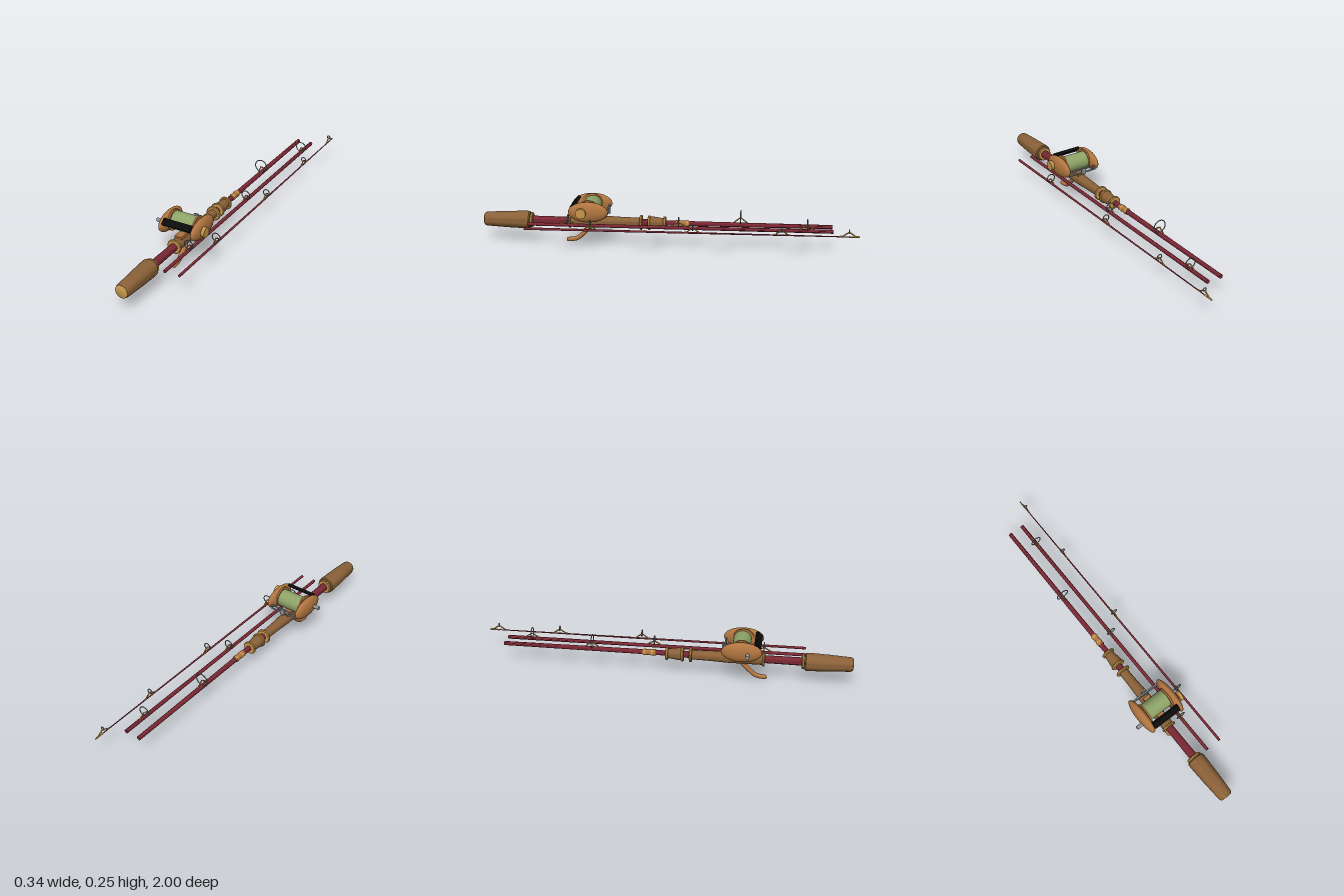
import * as THREE from 'three';
import { toCreasedNormals } from 'three/addons/utils/BufferGeometryUtils.js';

const mat = (name, color) => {
  const m = new THREE.MeshStandardMaterial({ color });
  m.name = name;
  return m;
};

export function createModel() {
  const M = {
    red: mat('red lacquer', 0x7a2733),
    wood: mat('brown grip', 0x8a6138),
    copper: mat('copper', 0xb0753f),
    gold: mat('gold', 0xc8984c),
    green: mat('green line', 0x8ea368),
    black: mat('black', 0x0b0b0b),
    steel: mat('steel', 0x8d9499),
  };
  const model = new THREE.Group();
  model.name = 'fishingRod';
  const Y = 0.118; // height of the rod axis

  const add = (parent, name, geo, material, x = 0, y = 0, z = 0) => {
    const mesh = new THREE.Mesh(geo, material);
    mesh.name = name;
    mesh.position.set(x, y, z);
    parent.add(mesh);
    return mesh;
  };
  // Turned part along z from [radius, z] pairs in rising z
  const turned = (parent, name, pts, material, x) => {
    const geo = new THREE.LatheGeometry(pts.map(p => new THREE.Vector2(...p)), 32);
    geo.rotateX(Math.PI / 2);
    return add(parent, name, toCreasedNormals(geo, 0.6), material, x, Y, 0);
  };
  const rod = (parent, name, r0, z0, r1, z1, material, x) =>
    turned(parent, name, [[0, z0], [r0, z0], [r1, z1], [0, z1]], material, x);
  // Cylinder lying along x
  const crossBar = (parent, name, r, x0, x1, y, z, material) => {
    const geo = new THREE.CylinderGeometry(r, r, x1 - x0, 32).rotateZ(Math.PI / 2);
    return add(parent, name, geo, material, (x0 + x1) / 2, y, z);
  };
  // Round wire between two points
  const wire = (parent, name, a, b, r, material) => {
    const p = new THREE.Vector3(...a), q = new THREE.Vector3(...b);
    const geo = new THREE.TubeGeometry(new THREE.LineCurve3(p, q), 1, r, 8);
    return add(parent, name, geo, material);
  };
  // Line guide: upright ring on two splayed legs
  const guide = (parent, x, z, r, top = 0.151, spread = 0.042, rodR = 0.008) => {
    const g = new THREE.Group();
    g.name = 'lineGuide';
    g.position.set(x, 0, z);
    add(g, 'guideRing', new THREE.TorusGeometry(r - 0.0025, 0.0028, 8, 32), M.steel, 0, top, 0);
    for (const s of [-1, 1]) {
      wire(g, 'guideLeg', [0, top - 0.003, 0], [0, Y + rodR * 0.6, s * spread], 0.0035, M.gold);
      wire(g, 'guideFoot', [0, Y + rodR * 0.6, s * spread], [0, Y + rodR * 0.6, s * (spread + 0.012)], 0.0035, M.gold);
    }
    parent.add(g);
  };

  // Butt section with handle
  const butt = new THREE.Group();
  butt.name = 'buttSection';
  model.add(butt);
  const X = -0.02;
  rod(butt, 'buttBlank', 0.011, -0.87, 0.014, 0.1, M.red, X);
  rod(butt, 'handleBlank', 0.018, 0.1, 0.022, 0.76, M.red, X);
  turned(butt, 'rearGrip', [[0, 0.748], [0.042, 0.748], [0.047, 0.754], [0.048, 0.77],
    [0.044, 0.88], [0.038, 0.985], [0.035, 0.994], [0, 0.994]], M.wood, X);
  turned(butt, 'buttCap', [[0.035, 0.99], [0.034, 0.996], [0.028, 1], [0, 1]], M.gold, X);
  turned(butt, 'reelSeat', [[0, 0.152], [0.025, 0.152], [0.027, 0.25], [0.031, 0.34],
    [0.031, 0.53], [0, 0.53]], M.wood, X);
  turned(butt, 'foreGrip', [[0, 0.022], [0.026, 0.022], [0.027, 0.04], [0.033, 0.08],
    [0.034, 0.1], [0, 0.1]], M.wood, X);
  for (const [z, r, h] of [[0.74, 0.04, 0.007], [0.533, 0.039, 0.006], [0.147, 0.04, 0.007],
    [0.103, 0.039, 0.007], [0.02, 0.036, 0.007], [-0.06, 0.018, 0.006], [-0.1, 0.018, 0.006]]) {
    turned(butt, 'collar', [[0, z - h], [r * 0.9, z - h], [r, z - h / 2], [r, z + h / 2],
      [r * 0.9, z + h], [0, z + h]], M.gold, X);
  }
  rod(butt, 'ferrule', 0.015, -0.112, 0.017, -0.04, M.copper, X);
  guide(butt, X, -0.385, 0.037, 0.162, 0.042, 0.012);

  // Finger trigger beneath the seat
  const bend = new THREE.CatmullRomCurve3([[0.41, 0.1], [0.44, 0.07], [0.485, 0.028], [0.505, 0.018],
    [0.542, 0.013]].map(([z, y]) => new THREE.Vector3(X, y, z)));
  add(butt, 'trigger', new THREE.TubeGeometry(bend, 24, 0.012, 16), M.copper);
  add(butt, 'triggerTip', new THREE.SphereGeometry(0.012, 16, 12), M.copper, X, 0.013, 0.542);

  // Reel
  const reel = new THREE.Group();
  reel.name = 'reel';
  model.add(reel);
  const RY = 0.195, RZ = 0.42;
  for (const x of [-0.112, 0.073]) {
    const plate = new THREE.SphereGeometry(1, 40, 28).scale(0.0265, 0.055, 0.106);
    add(reel, 'sidePlate', plate, M.copper, x, RY, RZ);
  }
  for (const x of [-0.09, 0.05]) crossBar(reel, 'spoolFlange', 0.057, x - 0.0045, x + 0.0045, 0.197, RZ, M.copper);
  crossBar(reel, 'spool', 0.048, -0.09, 0.05, 0.196, 0.415, M.green);
  add(reel, 'reelFoot', new THREE.BoxGeometry(0.04, 0.02, 0.16), M.copper, X, 0.148, RZ);
  const bar = add(reel, 'thumbBar', new THREE.BoxGeometry(0.164, 0.036, 0.016), M.black, X, 0.223, 0.502);
  bar.rotation.x = -Math.PI / 4;
  crossBar(reel, 'tensionKnob', 0.027, 0.1, 0.118, 0.197, 0.453, M.gold);
  crossBar(reel, 'knobShaft', 0.012, 0.07, 0.102, 0.197, 0.453, M.copper);
  crossBar(reel, 'crankStub', 0.01, -0.17, -0.11, 0.192, 0.453, M.steel);
  // Level wind across the back
  for (const y of [0.168, 0.188]) crossBar(reel, 'levelWindBar', 0.0045, -0.105, 0.066, y, 0.328, M.steel);
  add(reel, 'lineCarriage', new THREE.BoxGeometry(0.026, 0.034, 0.008), M.steel, X, 0.182, 0.317);

  // Middle section
  const middle = new THREE.Group();
  middle.name = 'middleSection';
  model.add(middle);
  rod(middle, 'middleBlank', 0.0105, -0.87, 0.0085, 0.75, M.red, 0.06);
  for (const [z, r] of [[0.53, 0.026], [-0.06, 0.026], [-0.735, 0.031]]) guide(middle, 0.06, z, r);

  // Tip section
  const tip = new THREE.Group();
  tip.name = 'tipSection';
  model.add(tip);
  rod(tip, 'tipBlank', 0.0025, -0.99, 0.007, 0.75, M.red, 0.142);
  rod(tip, 'tipTube', 0.0035, -1, 0.0042, -0.945, M.gold, 0.142);
  for (const [z, r, y] of [[0.4, 0.025, 0.15], [-0.14, 0.02, 0.149], [-0.6, 0.015, 0.148], [-0.945, 0.011, 0.147]])
    guide(tip, 0.142, z, r, y, 0.034, 0.004);

  return model;
}
